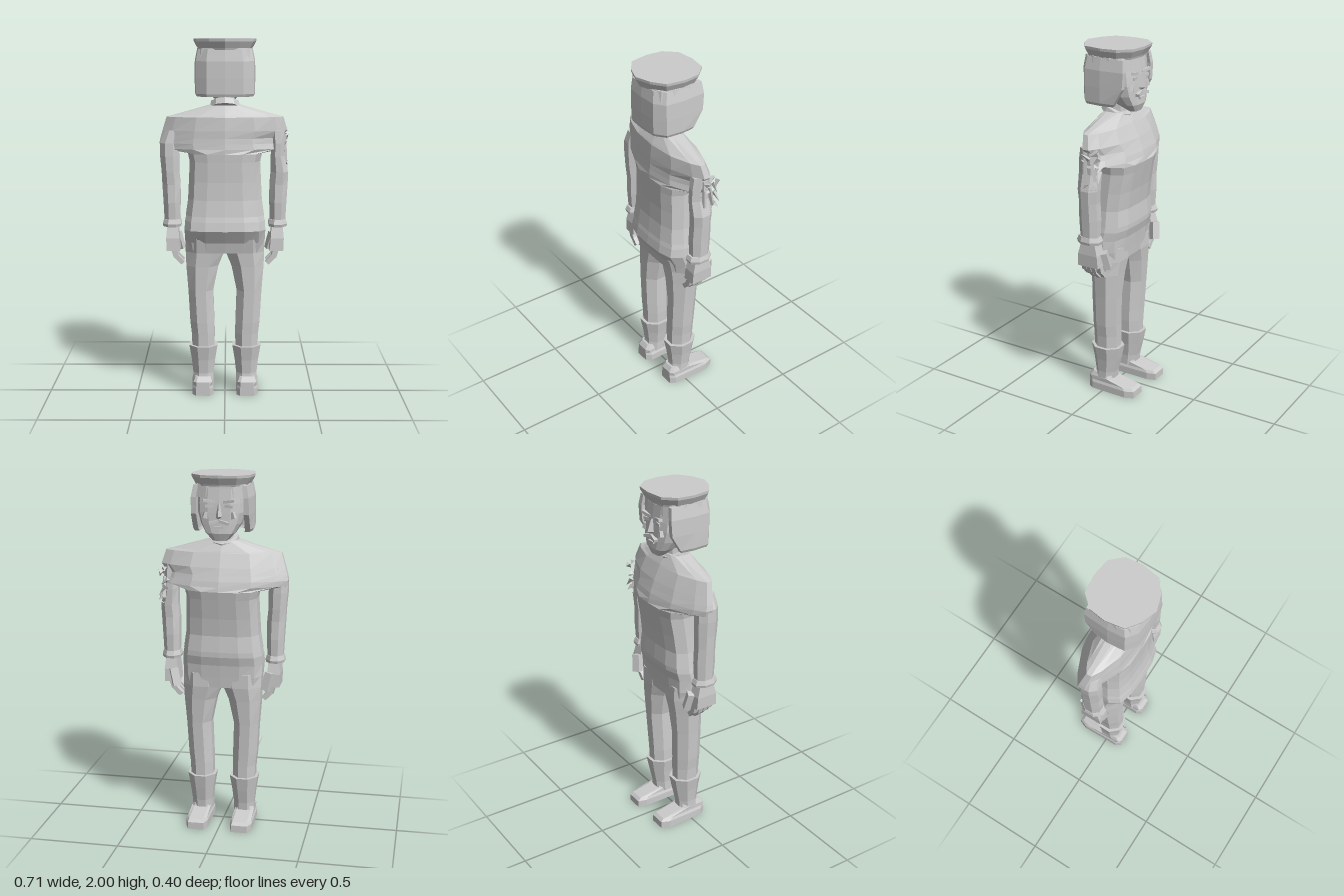
import * as THREE from 'three';

const grey = new THREE.MeshStandardMaterial({ color: 0xcccccc });
grey.name = 'plain grey';

// Flat-faced solid through rings [y, [[x, z], ...]], listed from bottom to top
function loft(name, rings, s = 1) {
  const flip = THREE.ShapeUtils.area(rings[0][1].map(([x, z]) => new THREE.Vector2(x * s, z))) < 0;
  const loops = rings.map(([y, pts]) => {
    const loop = pts.map(([x, z]) => [x * s, y, z]);
    return flip ? loop.reverse() : loop;
  });
  const pos = [];
  const tri = (...corners) => corners.forEach((c) => pos.push(...c));
  const n = loops[0].length;
  for (let r = 0; r < loops.length - 1; r++) {
    const lo = loops[r], hi = loops[r + 1];
    for (let i = 0; i < n; i++) {
      const j = (i + 1) % n;
      tri(lo[i], hi[i], lo[j]);
      tri(lo[j], hi[i], hi[j]);
    }
  }
  const cap = (loop, up) => {
    const flat = loop.map(([x, , z]) => new THREE.Vector2(x, z));
    for (const [a, b, c] of THREE.ShapeUtils.triangulateShape(flat, [])) {
      if (up) tri(loop[a], loop[c], loop[b]);
      else tri(loop[a], loop[b], loop[c]);
    }
  };
  cap(loops[0], false);
  cap(loops[loops.length - 1], true);
  const geo = new THREE.BufferGeometry();
  geo.setAttribute('position', new THREE.Float32BufferAttribute(pos, 3));
  return part(name, geo);
}

function part(name, geo, x = 0, y = 0, z = 0, rx = 0, ry = 0, rz = 0) {
  const flat = geo.index ? geo.toNonIndexed() : geo;
  flat.computeVertexNormals();
  const mesh = new THREE.Mesh(flat, grey);
  mesh.name = name;
  mesh.position.set(x, y, z);
  mesh.rotation.set(rx, ry, rz);
  return mesh;
}

const box = (name, w, h, d, ...place) => part(name, new THREE.BoxGeometry(w, h, d), ...place);

// Eight-sided section of a limb
const oct = (cx, cz, rx, rz) => Array.from({ length: 8 }, (_, i) => {
  const a = (i + 0.5) * Math.PI / 4, k = Math.cos(Math.PI / 8);
  return [cx + Math.cos(a) * rx / k, cz + Math.sin(a) * rz / k];
});
const limb = (name, rows, s) => loft(name, rows.map(([y, ...o]) => [y, oct(...o)]), s);

// Trunk section: half width, back z, front z, roundness (1 boxy, 0 pointed), left half width
function trunk(w, zb, zf, k = 1, wl = w) {
  const c = (zb + zf) / 2, h = (zb - zf) / 2;
  const half = [[0.48, 0.85 + 0.12 * k], [0.84, 0.45 + 0.35 * k], [1, 0.15 + 0.2 * k]];
  const right = [...half, ...half.map(([x, z]) => [x, -z]).reverse()];
  return [[0, c + h], ...right.map(([x, z]) => [x * wl, c + z * h]), [0, c - h],
    ...right.map(([x, z]) => [-x * w, c + z * h]).reverse()];
}
const trunkLoft = (name, rows) => loft(name, rows.map(([y, ...t]) => [y, trunk(...t)]));

function buildHead() {
  const head = new THREE.Group();
  head.name = 'head';
  // Flat-topped cap
  const half = [[0.085, 0.167], [0.155, 0.115], [0.172, 0.01], [0.16, -0.08], [0.1, -0.145]];
  const disc = [[0, 0.197], ...half, [0, -0.158], ...half.map(([x, z]) => [-x, z]).reverse()];
  const scaled = (k) => disc.map(([x, z]) => [x * k, 0.02 + (z - 0.02) * k]);
  head.add(loft('cap', [[1.94, scaled(0.86)], [1.95, scaled(0.88)], [1.985, scaled(0.99)], [2, scaled(1)]]));
  head.add(trunkLoft('hairBand', [[1.88, 0.158, 0.163, -0.125], [1.95, 0.15, 0.155, -0.12]]));
  // Hair shell, open around the face
  const hair = (w, zb, zf) => [[0, zb], [w * 0.6, zb - 0.006], [w * 0.95, zb - 0.05], [w, 0.02], [w * 0.95, zf],
    [w * 0.78, zf], [w * 0.78, 0.02], [w * 0.6, zb - 0.07], [0, zb - 0.06]];
  for (const s of [1, -1]) {
    head.add(loft('hair', [
      [1.69, hair(0.158, 0.16, -0.05)], [1.705, hair(0.165, 0.165, -0.06)], [1.79, hair(0.166, 0.167, -0.112)],
      [1.88, hair(0.165, 0.167, -0.118)], [1.945, hair(0.152, 0.157, -0.11)]], s));
    head.add(box('brow', 0.065, 0.014, 0.02, 0.055 * s, 1.862, -0.13, 0, 0.25 * s, 0.15 * s));
    head.add(box('eye', 0.045, 0.016, 0.008, 0.052 * s, 1.836, -0.132, 0, 0.2 * s, 0));
    head.add(box('moustache', 0.055, 0.016, 0.022, 0.026 * s, 1.752, -0.14, 0, 0.2 * s, -0.25 * s));
    head.add(box('cheek', 0.04, 0.035, 0.02, 0.068 * s, 1.785, -0.122, 0, 0.45 * s, 0.3 * s));
  }
  // Face, nose and mouth
  head.add(trunkLoft('face', [
    [1.65, 0.04, -0.075, -0.125], [1.69, 0.08, -0.01, -0.14], [1.74, 0.11, 0.04, -0.137],
    [1.8, 0.128, 0.07, -0.135], [1.85, 0.13, 0.09, -0.132], [1.93, 0.13, 0.1, -0.122]]));
  const nose = (w, tip) => [[-w, -0.12], [w, -0.12], [0, tip]];
  head.add(loft('nose', [[1.768, nose(0.022, -0.142)], [1.782, nose(0.026, -0.164)], [1.85, nose(0.012, -0.14)]]));
  head.add(box('lowerLip', 0.05, 0.012, 0.018, 0, 1.725, -0.138));
  return head;
}

function buildArm(s) {
  const arm = new THREE.Group();
  arm.name = s > 0 ? 'leftArm' : 'rightArm';
  const torn = s > 0 ? 0.016 : 0;
  arm.add(limb('sleeve', [
    [0.99, 0.294, 0, 0.043, 0.052], [1.1, 0.295, 0, 0.047, 0.058], [1.2, 0.298, 0, 0.05, 0.055],
    [1.27, 0.303, 0, 0.048, 0.06], [1.36, 0.307 - torn, 0, 0.052 - torn, 0.062],
    [1.43, 0.308 - torn, 0, 0.052 - torn, 0.06], [1.5, 0.29, 0, 0.04, 0.05]], s));
  arm.add(limb('cuff', [[0.965, 0.294, 0.003, 0.05, 0.066], [0.98, 0.294, 0.003, 0.053, 0.07],
    [1.005, 0.294, 0.003, 0.046, 0.06]], s));
  // Hand with curled fingers and a thumb
  const rect = (x0, x1, z0, z1) => [[x0, z0], [x1, z0], [x1, z1], [x0, z1]];
  arm.add(loft('palm', [[0.83, rect(0.25, 0.325, -0.064, 0.063)], [0.9, rect(0.255, 0.328, -0.06, 0.06)],
    [0.97, rect(0.26, 0.322, -0.042, 0.042)]], s));
  for (let i = 0; i < 4; i++) {
    const z = -0.048 + i * 0.032, drop = [0.01, 0, 0.004, 0.014][i];
    arm.add(box('finger', 0.03, 0.06, 0.027, 0.281 * s, 0.812 + drop, z, 0, 0, -0.3 * s));
    arm.add(box('fingertip', 0.025, 0.052, 0.025, 0.254 * s, 0.768 + drop, z, 0, 0, -0.75 * s));
  }
  arm.add(box('thumb', 0.045, 0.1, 0.035, 0.262 * s, 0.865, -0.078, 0.25, 0.4 * s, -0.25 * s));
  return arm;
}

function buildLeg(s) {
  const leg = new THREE.Group();
  leg.name = s > 0 ? 'leftLeg' : 'rightLeg';
  leg.add(limb('trouser', [
    [0.25, 0.122, 0, 0.062, 0.072], [0.35, 0.123, 0, 0.065, 0.074], [0.42, 0.128, 0, 0.068, 0.076],
    [0.6, 0.136, -0.004, 0.07, 0.08], [0.74, 0.127, -0.008, 0.09, 0.086],
    [0.82, 0.112, -0.01, 0.108, 0.092], [0.9, 0.112, 0, 0.108, 0.1]], s));
  leg.add(limb('bootShaft', [[0.06, 0.122, 0.01, 0.058, 0.062], [0.12, 0.122, 0.004, 0.058, 0.062],
    [0.2, 0.122, 0, 0.067, 0.075], [0.28, 0.122, 0, 0.08, 0.09]], s));
  // Wedge-shaped shoe
  const sole = [[0.065, -0.15], [0.08, -0.2], [0.17, -0.2], [0.19, -0.15], [0.185, 0.07], [0.165, 0.1],
    [0.085, 0.1], [0.065, 0.07]];
  const upper = (k, w) => sole.map(([x, z]) => [0.125 + (x - 0.125) * w, 0.1 + (z - 0.1) * k]);
  leg.add(loft('shoe', [[0, sole], [0.04, sole], [0.055, upper(0.94, 0.9)], [0.078, upper(0.5, 0.88)],
    [0.105, upper(0.4, 0.7).map(([x, z]) => [x, z - 0.02])]], s));
  return leg;
}

// Ragged cloth around the hole in the left sleeve
function buildTear() {
  const tear = new THREE.Group();
  tear.name = 'tornSleeve';
  for (let i = 0; i < 13; i++) {
    const a = i / 13 * Math.PI * 2, len = 0.04 + 0.025 * ((i * 5) % 4) / 3;
    tear.add(part('clothShred', new THREE.ConeGeometry(0.016, len, 3),
      0.318 + 0.012 * (i % 3), 1.38 + Math.sin(a) * 0.1, -0.03 + Math.cos(a) * 0.052, a, 0, -0.9 + 0.3 * (i % 3)));
  }
  tear.add(box('clothFold', 0.03, 0.16, 0.018, 0.325, 1.4, 0.005, 0, 0.3, 0.05));
  tear.add(box('clothFold', 0.02, 0.12, 0.016, 0.325, 1.37, -0.045, 0.2, 0.5, 0));
  return tear;
}

export function createModel() {
  const model = new THREE.Group();
  model.name = 'soldierFigure';
  // Jacket with sloping, pointed shoulders
  model.add(trunkLoft('jacket', [
    [1.03, 0.218, 0.13, -0.13], [1.12, 0.205, 0.118, -0.122], [1.22, 0.2, 0.115, -0.135],
    [1.33, 0.195, 0.118, -0.156], [1.375, 0.205, 0.12, -0.165], [1.4, 0.355, 0.12, -0.16, 0, 0.335],
    [1.43, 0.363, 0.116, -0.152, 0, 0.315], [1.46, 0.357, 0.113, -0.14, 0, 0.308], [1.5, 0.345, 0.112, -0.125, 0],
    [1.575, 0.322, 0.105, -0.09, 0], [1.585, 0.28, 0.1, -0.085, 0], [1.64, 0.085, 0.065, -0.05]]));
  model.add(trunkLoft('hips', [
    [0.82, 0.21, 0.085, -0.1], [0.88, 0.222, 0.1, -0.105], [0.95, 0.225, 0.14, -0.112],
    [1.0, 0.222, 0.132, -0.125], [1.04, 0.214, 0.122, -0.126]]));
  // Neck and tilted collar
  model.add(part('neck', new THREE.CylinderGeometry(0.052, 0.055, 0.18, 8), 0, 1.66, 0.005));
  model.add(part('collar', new THREE.CylinderGeometry(0.08, 0.086, 0.035, 10), 0, 1.638, 0.012, -0.4));
  model.add(buildHead(), buildTear());
  for (const s of [1, -1]) model.add(buildArm(s), buildLeg(s));
  return model;
}
